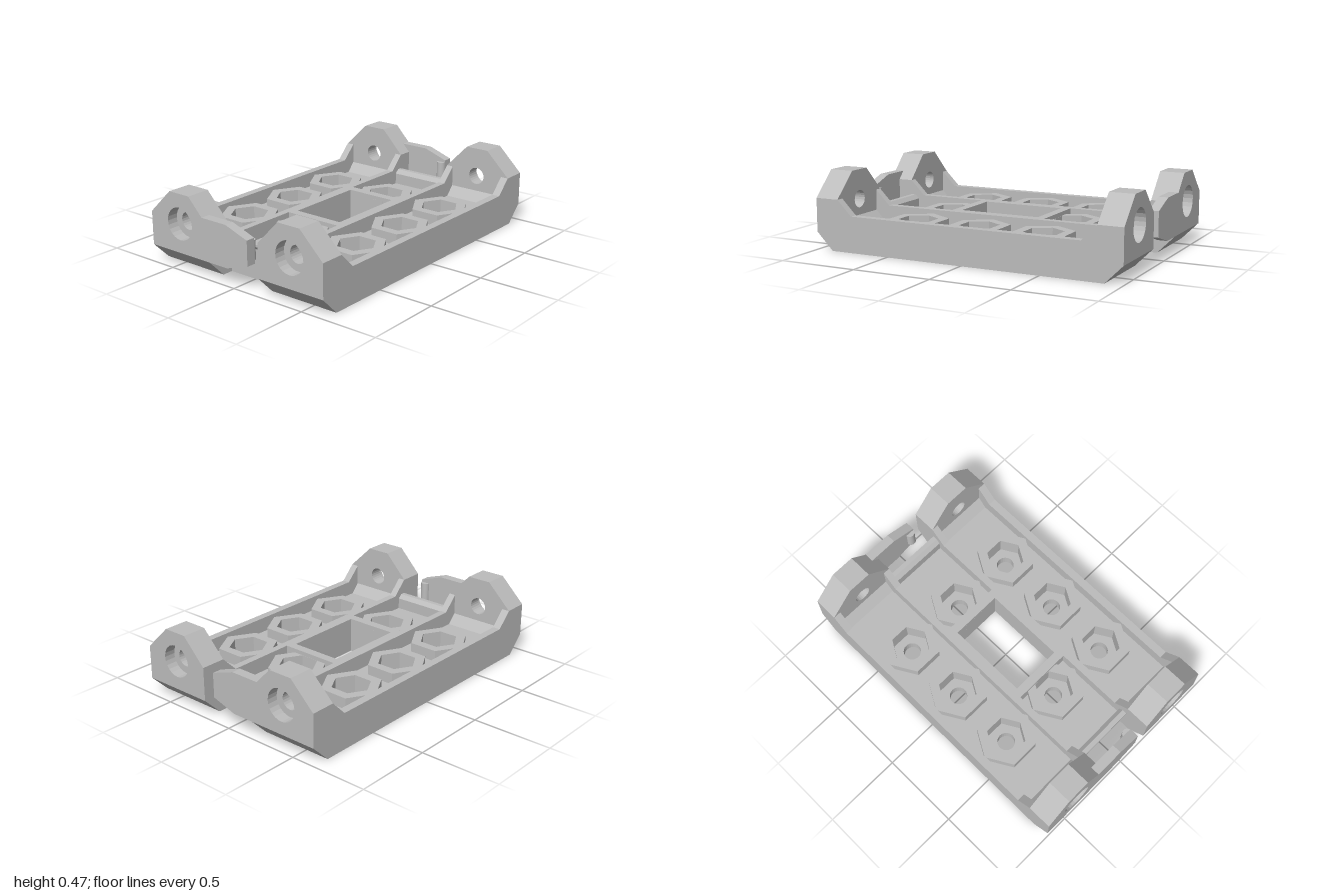
import * as THREE from 'three';

const grey = new THREE.MeshStandardMaterial({ color: 0xbcbcbc });
grey.name = 'plainGrey';

const poly = (pts) => new THREE.Shape(pts.map(([a, b]) => new THREE.Vector2(a, b)));
const rect = (x0, x1, y0, y1) => poly([[x0, y0], [x1, y0], [x1, y1], [x0, y1]]);
const ngon = (cx, cy, r, n) => poly(Array.from({ length: n }, (_, i) => {
  const a = (i / n) * Math.PI * 2;
  return [cx + r * Math.cos(a), cy + r * Math.sin(a)];
}));
const extrude = (shape, depth) =>
  new THREE.ExtrudeGeometry(shape, { depth, bevelEnabled: false });

export function createModel() {
  const group = new THREE.Group();
  const add = (name, geometry) => {
    const mesh = new THREE.Mesh(geometry, grey);
    mesh.name = name;
    group.add(mesh);
    return mesh;
  };
  // plan outline raised from y0 to y1
  const slab = (name, shape, y0, y1) =>
    add(name, extrude(shape, y1 - y0).rotateX(-Math.PI / 2).translate(0, y0, 0));
  // side profile (z, y) stretched from x0 to x1
  const profile = (name, pts, x0, x1) =>
    add(name, extrude(poly(pts), x1 - x0).rotateY(-Math.PI / 2).translate(x1, 0, 0));
  // front outline (x, y) stretched from z0 to z1
  const plate = (name, shape, z0, z1) =>
    add(name, extrude(shape, Math.abs(z1 - z0)).translate(0, 0, Math.min(z0, z1)));

  const FLOOR = 0.13, SEAT = 0.07, BOSS = 0.2, RIM = 0.225;
  const spots = [];
  for (const x of [-0.42, 0, 0.42])
    for (const z of [-0.42, 0, 0.42]) if (x || z) spots.push([x, z]);

  // floor: round holes below, hexagonal nut seats above
  const lower = rect(-0.655, 0.655, -0.79, 0.79);
  const upper = rect(-0.655, 0.655, -0.79, 0.79);
  for (const s of [lower, upper]) s.holes.push(rect(-0.165, 0.165, -0.26, 0.26));
  for (const [x, z] of spots) {
    lower.holes.push(ngon(x, z, 0.055, 24));
    upper.holes.push(ngon(x, z, 0.12, 6));
    const boss = ngon(x, z, 0.185, 6);
    boss.holes.push(ngon(x, z, 0.12, 6));
    slab('nutBoss', boss, FLOOR, BOSS);
  }
  slab('lowerFloor', lower, 0, SEAT);
  slab('upperFloor', upper, SEAT, FLOOR);

  // raised frame round the window
  const frame = rect(-0.19, 0.19, -0.315, 0.315);
  frame.holes.push(rect(-0.165, 0.165, -0.26, 0.26));
  slab('windowFrame', frame, FLOOR, RIM);

  // long ribs and side walls
  const rib = [[-0.845, FLOOR], [0.845, FLOOR], [0.845, 0.32], [0.75, RIM], [-0.75, RIM], [-0.845, 0.32]];
  for (const [a, b] of [[0.19, 0.235], [0.605, 0.655]]) {
    profile('rib', rib, a, b);
    profile('rib', rib, -b, -a);
  }

  for (const s of [-1, 1]) {
    // chamfered end blocks with a sloped inner foot
    const block = [[0.79, 0], [0.89, 0], [1, 0.11], [0.845, 0.11], [0.845, 0.19], [0.79, FLOOR]]
      .map(([z, y]) => [z * s, y]);
    profile('endBlock', block, 0.19, 0.655);
    profile('endBlock', block, -0.655, -0.19);

    // low middle wall with a catch lip
    const lip = [[0.79, 0], [0.82, 0], [0.82, 0.185], [0.845, 0.21], [0.845, RIM], [0.815, RIM], [0.79, 0.2]]
      .map(([z, y]) => [z * s, y]);
    profile('catchWall', lip, -0.19, 0.19);

    // posts with a through hole and a wider outer bore
    for (const m of [-1, 1])
      for (const [r, z0, z1] of [[0.055, 0.845, 0.93], [0.1, 0.93, 1]]) {
        const post = poly([[0.19, 0.11], [0.655, 0.11], [0.655, 0.32], [0.495, 0.475], [0.34, 0.475], [0.19, 0.32]]
          .map(([x, y]) => [x * m, y]));
        post.holes.push(ngon(0.42 * m, 0.29, r, 24));
        plate('post', post, z0 * s, z1 * s);
      }

    // latch arm reaching across the gap, with a rounded nub
    plate('latchArm', poly([[-0.19, 0.11], [-0.05, 0.11], [0.11, 0.16], [0.11, 0.315],
      [-0.05, 0.37], [-0.24, 0.37], [-0.19, 0.32]]), 0.94 * s, s);
    add('latchNub', new THREE.CylinderGeometry(0.03, 0.03, 0.12, 20)).position.set(0.08, 0.24, 0.942 * s);
  }
  return group;
}
